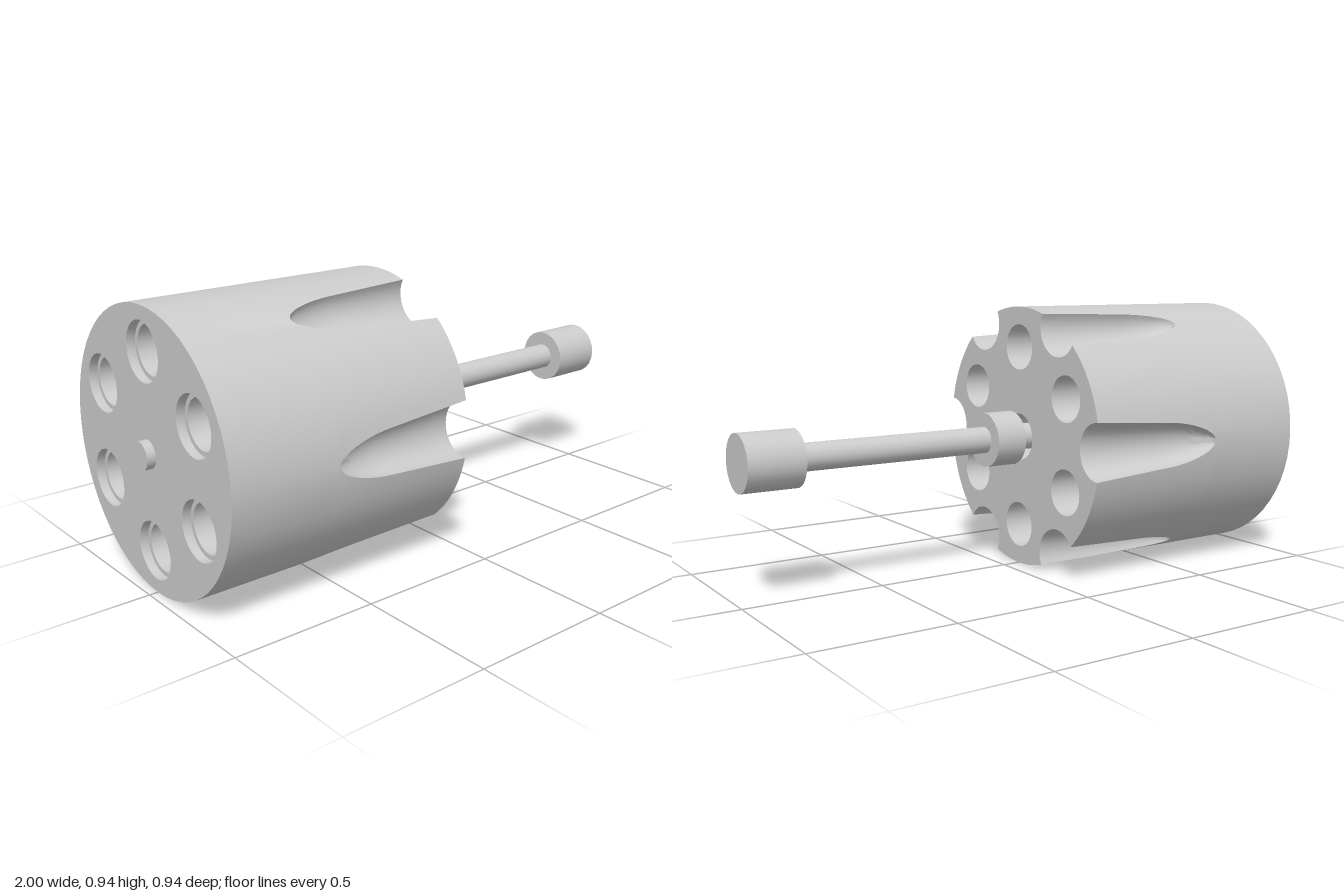
import * as THREE from 'three';
import { toCreasedNormals } from 'three/addons/utils/BufferGeometryUtils.js';

// Built along local z, then turned so the axis lies along x.
const R = 0.47, BACK = -0.97, FRONT = -0.065, TIP = -0.59;
const HOLE_RING = 0.325, HOLE_R = 0.082, RIM_R = 0.098, RIM_DEPTH = 0.03;
const BORE_R = 0.085, BORE_DEPTH = 0.12, ROD_R = 0.047;
const SECTOR = Math.PI / 3;

const grey = new THREE.MeshStandardMaterial({ color: 0xcccccc });
const greyOpen = new THREE.MeshStandardMaterial({ color: 0xcccccc, side: THREE.DoubleSide });

// Half-width of a flute at a station: rounded tip, then a slow flare
function fluteWidth(z) {
  const s = Math.max(0, z - TIP);
  const round = 1 - Math.min(s / 0.2, 1);
  return (0.063 + 0.037 * s / (FRONT - TIP)) * Math.sqrt(1 - round * round);
}

// Outline of the body at a station: six scooped arcs joined by lands
function section(z) {
  const w = fluteWidth(z), a = Math.asin(w / R), chord = Math.sqrt(R * R - w * w);
  const pts = [];
  for (let k = 0; k < 6; k++) {
    const c = new THREE.Vector2();
    for (let i = 0; i <= 16; i++) {
      const t = Math.PI * i / 16;
      pts.push(new THREE.Vector2(chord - 0.95 * w * Math.sin(t), -w * Math.cos(t)).rotateAround(c, k * SECTOR));
    }
    for (let i = 1; i < 10; i++) {
      const ang = k * SECTOR + a + (SECTOR - 2 * a) * i / 10;
      pts.push(new THREE.Vector2(R * Math.cos(ang), R * Math.sin(ang)));
    }
  }
  return pts;
}

function bodyWall() {
  const stations = [BACK];
  for (let i = 0; i <= 28; i++) stations.push(TIP + (FRONT - TIP) * Math.pow(i / 28, 2));
  const rings = stations.map(z => section(z).map(p => new THREE.Vector3(p.x, p.y, z)));
  const pos = [], tri = new THREE.Triangle();
  const add = (a, b, c) => {
    if (tri.set(a, b, c).getArea() > 1e-9) pos.push(...a.toArray(), ...b.toArray(), ...c.toArray());
  };
  for (let j = 0; j + 1 < rings.length; j++) {
    const lo = rings[j], hi = rings[j + 1], n = lo.length;
    for (let i = 0; i < n; i++) {
      const m = (i + 1) % n;
      add(lo[i], lo[m], hi[m]);
      add(lo[i], hi[m], hi[i]);
    }
  }
  const g = new THREE.BufferGeometry();
  g.setAttribute('position', new THREE.Float32BufferAttribute(pos, 3));
  return toCreasedNormals(g, 0.6);
}

const holeCentre = k => [HOLE_RING * Math.cos((k + 0.5) * SECTOR), HOLE_RING * Math.sin((k + 0.5) * SECTOR)];

// Flat end face pierced by the six chambers and the centre bore
function endFace(z, holeR, centreR) {
  const shape = new THREE.Shape(section(z));
  const pierce = (x, y, r) => shape.holes.push(new THREE.Path().absarc(x, y, r, 0, Math.PI * 2, true));
  for (let k = 0; k < 6; k++) pierce(...holeCentre(k), holeR);
  pierce(0, 0, centreR);
  return new THREE.ShapeGeometry(shape, 12);
}

// Revolved surface from [radius, z] pairs
function turned(profile) {
  const g = new THREE.LatheGeometry(profile.map(p => new THREE.Vector2(...p)), 24).rotateX(Math.PI / 2);
  return toCreasedNormals(g, 0.6);
}

export function createModel() {
  const model = new THREE.Group();
  model.name = 'cylinderAssembly';
  const axis = new THREE.Group();
  axis.name = 'turnedParts';
  axis.rotation.y = Math.PI / 2;
  axis.position.y = R;
  model.add(axis);

  const add = (name, geometry, material = grey) => {
    const mesh = new THREE.Mesh(geometry, material);
    mesh.name = name;
    axis.add(mesh);
    return mesh;
  };

  // Fluted body
  add('flutedBody', bodyWall());
  add('frontFace', endFace(FRONT, HOLE_R, BORE_R)).position.z = FRONT;
  const back = add('backFace', endFace(BACK, RIM_R, ROD_R));
  back.rotation.y = Math.PI;
  back.position.z = BACK;

  // Through chambers, each with a shallow recess at the back
  const chamber = turned([[RIM_R, BACK], [RIM_R, BACK + RIM_DEPTH], [HOLE_R, BACK + RIM_DEPTH], [HOLE_R, FRONT]]);
  for (let k = 0; k < 6; k++) add('chamber', chamber, greyOpen).position.set(...holeCentre(k), 0);

  // Recess around the rod in the front face
  add('centreBore', turned([[ROD_R, FRONT - BORE_DEPTH], [BORE_R, FRONT - BORE_DEPTH], [BORE_R, FRONT]]), greyOpen);

  // Centre rod with collar and head
  const rod = (name, r, z0, z1) => {
    const g = new THREE.CylinderGeometry(r, r, z1 - z0, 24).rotateX(Math.PI / 2);
    add(name, g).position.z = (z0 + z1) / 2;
  };
  rod('centreRod', ROD_R, -1, 0.81);
  rod('collar', 0.097, -0.03, 0.085);
  rod('rodHead', 0.097, 0.805, 1);

  return model;
}
